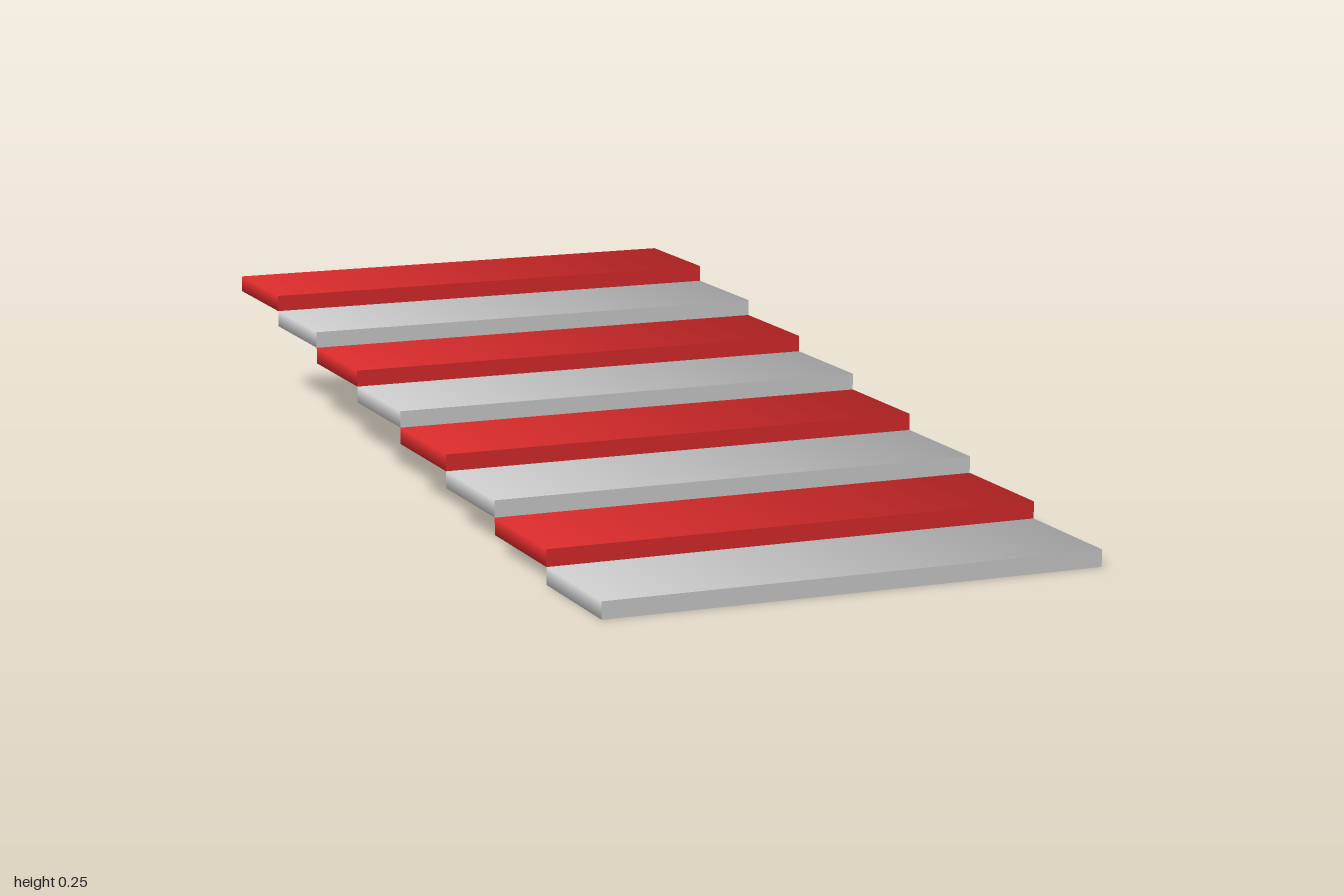
import * as THREE from 'three';

const COUNT = 8, WIDTH = 0.934, RISE = 0.25 / COUNT, DEPTH = 2 / COUNT;

// Four-sided prism lying along z: smooth around its sides, flat front and back caps.
// Only the positions are stretched, so the soft corner normals stay diagonal.
function slabGeometry() {
  const g = new THREE.CylinderGeometry(Math.SQRT1_2, Math.SQRT1_2, 1, 4, 1);
  g.rotateY(Math.PI / 4);
  g.rotateX(Math.PI / 2);
  const p = g.attributes.position;
  for (let i = 0; i < p.count; i++) {
    p.setXYZ(i, p.getX(i) * WIDTH, p.getY(i) * RISE, p.getZ(i) * DEPTH);
  }
  return g;
}

export function createModel() {
  const model = new THREE.Group();
  model.name = 'stairs';
  const geometry = slabGeometry();
  const grey = new THREE.MeshStandardMaterial({ color: 0xcccccc });
  const red = new THREE.MeshStandardMaterial({ color: 0xd92b2b });

  // Steps climb from front to back in alternating colours
  for (let i = 0; i < COUNT; i++) {
    const step = new THREE.Mesh(geometry, i % 2 ? red : grey);
    step.name = `step${i + 1}`;
    step.position.set(0, (i + 0.5) * RISE, 1 - (i + 0.5) * DEPTH);
    model.add(step);
  }
  return model;
}
